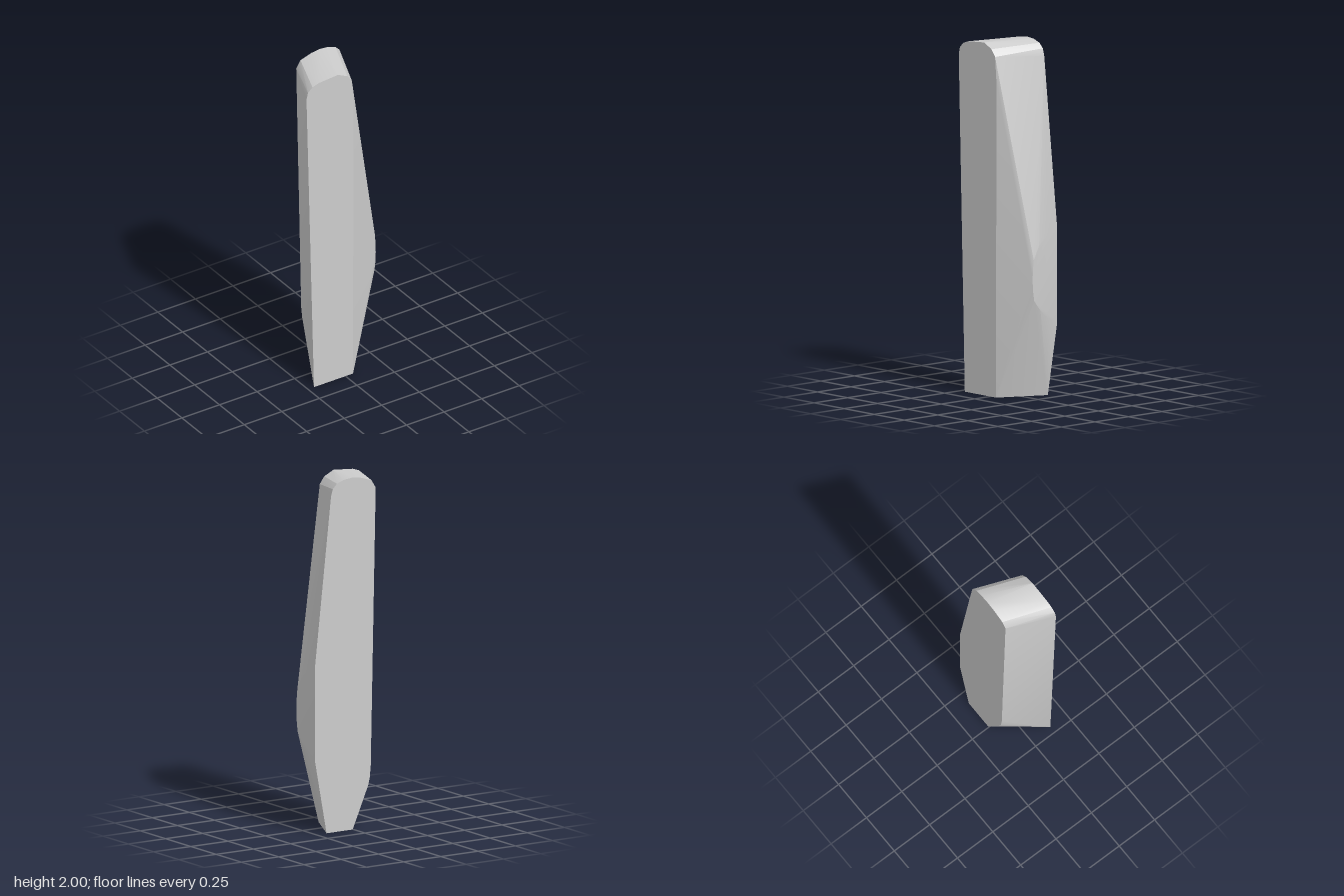
import * as THREE from 'three';
import { toCreasedNormals } from 'three/addons/utils/BufferGeometryUtils.js';
import { ConvexGeometry } from 'three/addons/geometries/ConvexGeometry.js';

const DEPTH = 0.135;

// Outline of the front face (x, y)
const frontOutline = [
  [-0.21, 0], [0.05, 0], [0.053, 1.78], [0.042, 1.92], [0.012, 1.96],
  [-0.05, 1.99], [-0.18, 1.98], [-0.22, 1.967], [-0.25, 1.94], [-0.26, 1.9],
];

// Outline of the back face (x, y), bulging to +x and cut away at the lower -x corner
const backOutline = [
  [0.005, 0], [0.18, 0], [0.258, 0.42], [0.258, 0.95], [0.15, 1.91],
  [0.138, 1.95], [0.11, 1.978], [0.064, 1.994], [0.01, 2], [-0.05, 1.993],
  [-0.122, 1.97], [-0.15, 1.925], [-0.117, 0.35], [-0.11, 0.28], [-0.1, 0.24],
];

// Curved rim of the flat facet on the bulging side (y, z)
const bulgeRim = [
  [0.45, -0.07], [0.5, -0.01], [0.56, 0.037], [0.62, 0.046], [0.68, 0.049],
  [0.74, 0.046], [0.79, 0.04], [0.87, 0.0], [0.92, -0.06],
];

export function createModel() {
  const points = [
    ...frontOutline.map(([x, y]) => new THREE.Vector3(x, y, DEPTH)),
    ...backOutline.map(([x, y]) => new THREE.Vector3(x, y, -DEPTH)),
    ...bulgeRim.map(([y, z]) => new THREE.Vector3(0.258, y, z)),
  ];

  // The block is the convex skin stretched between the two faces and the facet
  const geometry = toCreasedNormals(new ConvexGeometry(points), 0.3);
  const block = new THREE.Mesh(geometry, new THREE.MeshStandardMaterial({ color: 0xcccccc }));
  block.name = 'slantedBlock';

  const group = new THREE.Group();
  group.name = 'facetedPillar';
  group.add(block);
  return group;
}
